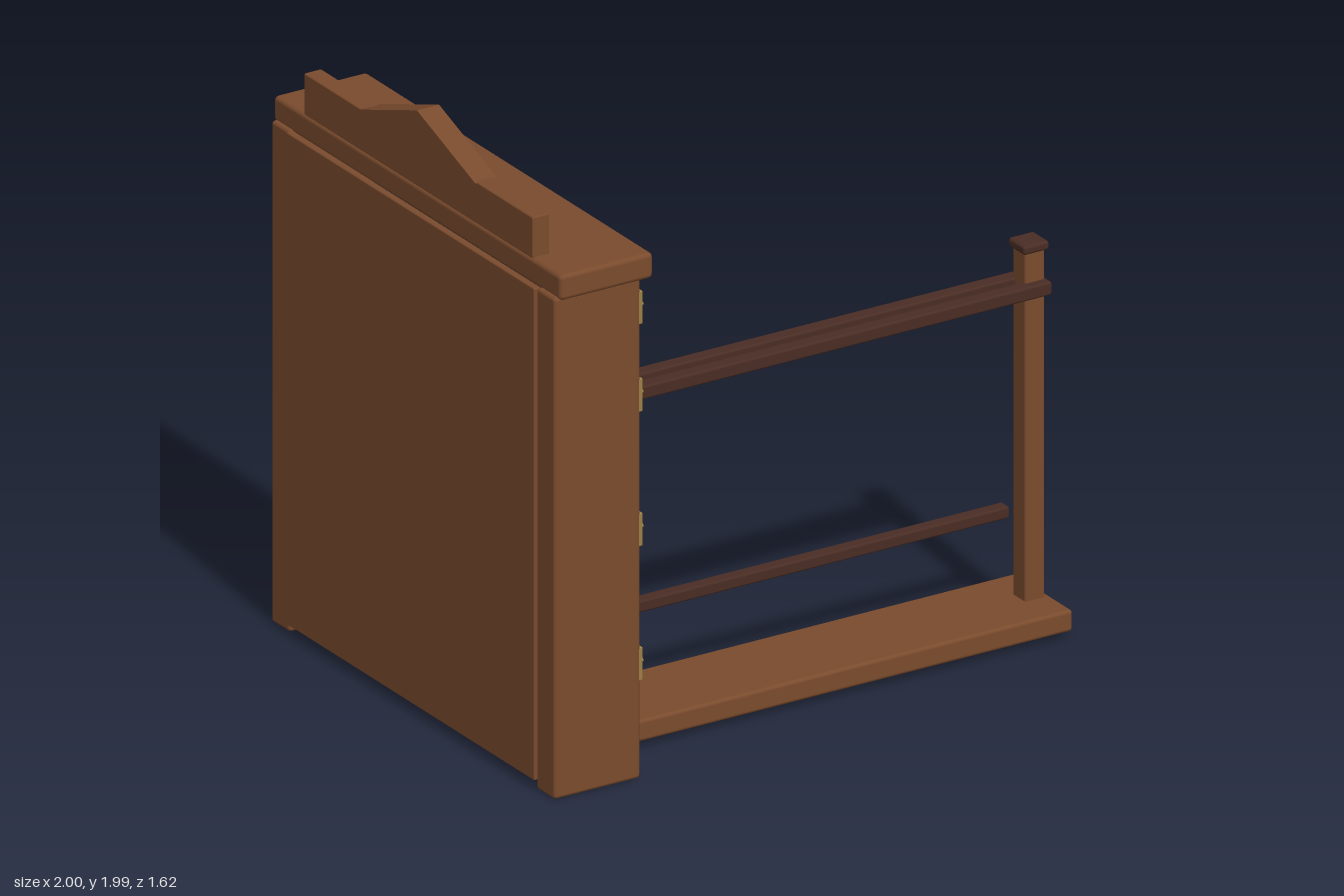
import * as THREE from 'three';
import { RoundedBoxGeometry } from 'three/addons/geometries/RoundedBoxGeometry.js';

export function createModel() {
  const model = new THREE.Group();
  model.name = 'shelfWithGate';

  const material = (name, color) => {
    const m = new THREE.MeshStandardMaterial({ color });
    m.name = name;
    return m;
  };
  const wood = material('brown wood', 0x7a4b2d);
  const darkWood = material('dark wood', 0x492d24);
  const brass = material('aged brass', 0x9c8044);

  // Softly rounded box given by its extents on each axis
  const box = (name, mat, [x0, x1], [y0, y1], [z0, z1], radius = 0.008) => {
    const size = [x1 - x0, y1 - y0, z1 - z0];
    const r = Math.min(radius, Math.min(...size) * 0.4);
    const mesh = new THREE.Mesh(new RoundedBoxGeometry(...size, 2, r), mat);
    mesh.position.set((x0 + x1) / 2, (y0 + y1) / 2, (z0 + z1) / 2);
    mesh.name = name;
    model.add(mesh);
    return mesh;
  };

  // Cabinet carcass: sides, back, kick board and cornice
  for (const s of [-1, 1]) {
    const z = s > 0 ? [0.695, 0.8] : [-0.8, -0.695];
    box('cabinetSide', wood, [-0.99, -0.68], [0, 1.66], z, 0.012);
  }
  box('backPanel', wood, [-1, -0.975], [0.03, 1.66], [-0.7, 0.7], 0.005);
  box('kickBoard', wood, [-0.81, -0.77], [0.01, 0.35], [-0.7, 0.7], 0.005);
  box('cornice', wood, [-0.975, -0.64], [1.65, 1.735], [-0.81, 0.81], 0.015);
  box('crestBoard', wood, [-0.97, -0.908], [1.73, 1.868], [-0.645, 0.645], 0.005);

  // Pediment: two mirrored right-angled wedges meeting at the centre
  for (const s of [-1, 1]) {
    const tri = new THREE.Shape([
      new THREE.Vector2(0, 1.865),
      new THREE.Vector2(s * 0.33, 1.865),
      new THREE.Vector2(0, 1.985),
    ]);
    const geo = new THREE.ExtrudeGeometry(tri, { depth: 0.08, bevelEnabled: false });
    geo.rotateY(-Math.PI / 2);
    const wedge = new THREE.Mesh(geo, wood);
    wedge.position.x = -0.895;
    wedge.name = 'pedimentWedge';
    model.add(wedge);
  }

  // Shelves, each carrying two small stepped holders
  for (const top of [0.405, 0.85, 1.295]) {
    box('shelf', wood, [-0.98, -0.77], [top - 0.065, top], [-0.7, 0.7], 0.006);
    for (const [z, h] of [[-0.43, 0.075], [0.44, 0.095]]) {
      box('holderBase', wood, [-0.935, -0.815], [top - 0.005, top + h], [z - 0.046, z + 0.046], 0.012);
      box('holderStem', wood, [-0.935, -0.9], [top + 0.05, top + 0.145], [z - 0.027, z + 0.027]);
      box('holderKnob', wood, [-0.87, -0.83], [top + 0.05, top + h + 0.03], [z - 0.027, z + 0.027]);
    }
  }

  // Brass plates with diamond studs down both cabinet sides
  for (const z of [-0.748, 0.748]) {
    for (const y of [0.375, 0.82, 1.265, 1.555]) {
      box('brassPlate', brass, [-0.69, -0.668], [y - 0.055, y + 0.055], [z - 0.046, z + 0.046], 0.004);
      const stud = box('diamondStud', brass, [-0.675, -0.652], [y - 0.02, y + 0.02], [z - 0.02, z + 0.02], 0.003);
      stud.rotation.x = Math.PI / 4;
    }
  }

  // Gate: floor plank, two capped uprights and three rails
  box('floorPlank', wood, [-0.82, 0.995], [0.02, 0.092], [0.28, 0.61], 0.012);
  for (const x of [-0.76, 0.94]) {
    box('upright', wood, [x - 0.036, x + 0.036], [0.085, 1.25], [0.41, 0.482]);
    box('uprightCap', darkWood, [x - 0.046, x + 0.046], [1.242, 1.272], [0.4, 0.492], 0.01);
  }
  for (const z of [0.402, 0.487]) {
    box('upperRail', darkWood, [-0.8, 0.983], [1.1, 1.145], [z - 0.025, z + 0.025]);
  }
  box('lowerRail', darkWood, [-0.75, 0.93], [0.315, 0.355], [0.31, 0.355]);

  return model;
}
